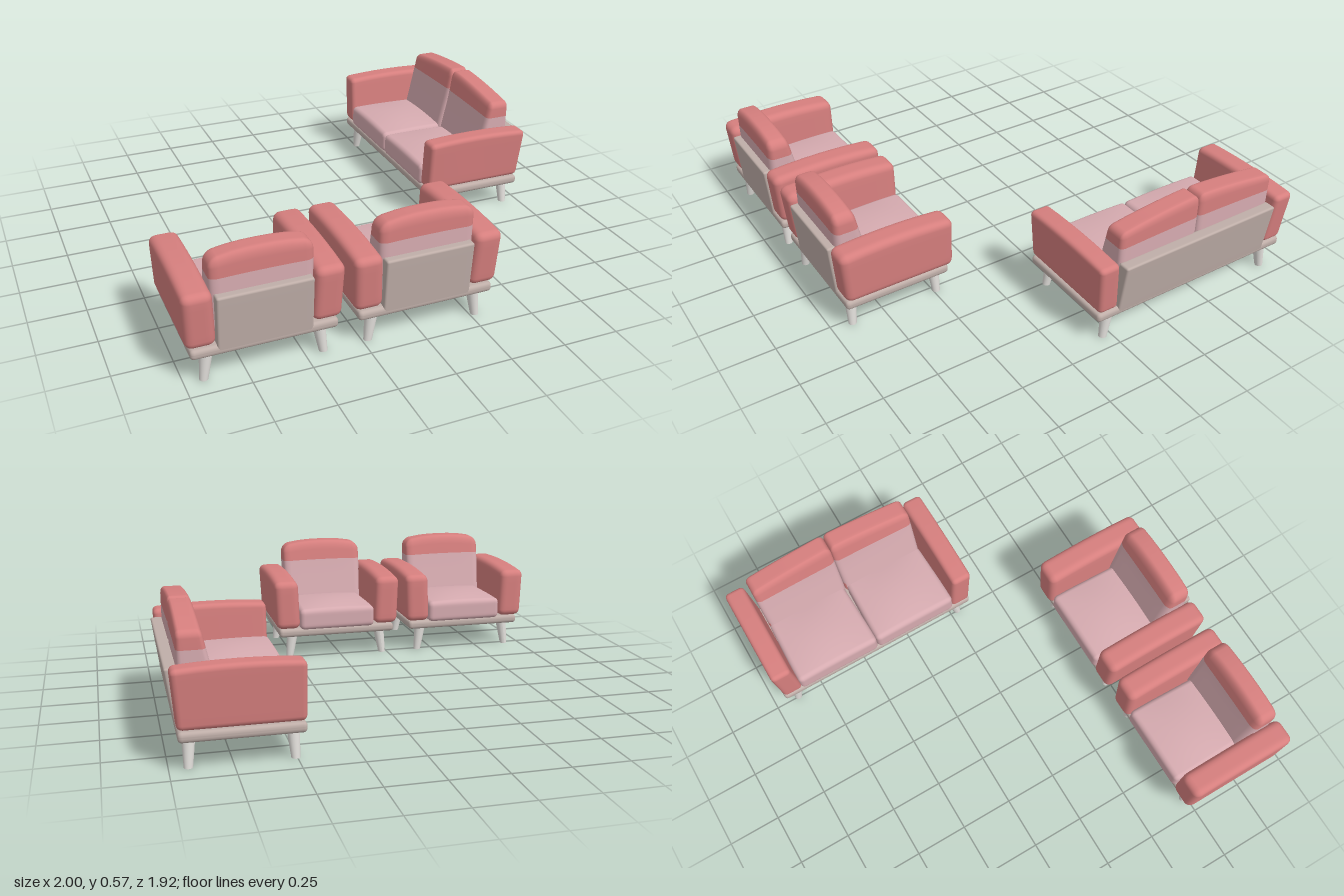
import * as THREE from 'three';
import { mergeVertices } from 'three/addons/utils/BufferGeometryUtils.js';

const material = (name, color) => {
  const m = new THREE.MeshStandardMaterial({ color });
  m.name = name;
  return m;
};

// Rounded box between two corners, bent by warp(v); faces above splitY use the second material.
function softBox(name, min, max, r, materials, warp = () => {}, splitY = null) {
  const N = 12, E = 3;
  const lo = new THREE.Vector3(...min), hi = new THREE.Vector3(...max);
  let geo = new THREE.BoxGeometry(1, 1, 1, N, N, N);
  geo.deleteAttribute('uv');
  geo.deleteAttribute('normal');
  geo = mergeVertices(geo);
  const pos = geo.attributes.position, v = new THREE.Vector3(), inner = new THREE.Vector3();
  const innerLo = lo.clone().addScalar(r), innerHi = hi.clone().subScalar(r);
  const place = (t, a, b) => {
    const i = Math.round((t + 0.5) * N);
    if (i <= E) return a + (r * i) / E;
    if (i >= N - E) return b - (r * (N - i)) / E;
    return a + r + ((b - a - 2 * r) * (i - E)) / (N - 2 * E);
  };
  const rawY = [];
  for (let i = 0; i < pos.count; i++) {
    v.fromBufferAttribute(pos, i);
    v.set(place(v.x, lo.x, hi.x), place(v.y, lo.y, hi.y), place(v.z, lo.z, hi.z));
    rawY.push(v.y);
    inner.copy(v).clamp(innerLo, innerHi);
    v.sub(inner).setLength(r).add(inner);
    warp(v);
    pos.setXYZ(i, v.x, v.y, v.z);
  }
  if (splitY !== null) {
    const parts = [[], []], idx = geo.index.array;
    for (let i = 0; i < idx.length; i += 3) {
      const y = (rawY[idx[i]] + rawY[idx[i + 1]] + rawY[idx[i + 2]]) / 3;
      parts[y > splitY ? 1 : 0].push(idx[i], idx[i + 1], idx[i + 2]);
    }
    geo.setIndex([...parts[0], ...parts[1]]);
    geo.addGroup(0, parts[0].length, 0);
    geo.addGroup(parts[0].length, parts[1].length, 1);
  }
  geo.computeVertexNormals();
  const mesh = new THREE.Mesh(geo, materials);
  mesh.name = name;
  return mesh;
}

// One seat facing +z, standing on y = 0.
function createSeat(name, p, mats) {
  const { red, pink, frame, legs } = mats;
  const g = new THREE.Group();
  g.name = name;

  // Platform and leaning back panel
  g.add(softBox('base', [-p.base, 0.118, -0.249], [p.base, 0.162, 0.249], 0.017, frame));
  g.add(softBox('backPanel', [-p.panel, 0.13, -0.248], [p.panel, 0.385, -0.19], 0.01, frame,
    (v) => { v.z -= (p.panelLean * (v.y - 0.13)) / 0.255; }));

  for (const s of [-1, 1]) {
    // Arm leaning outward and backward, with a crowned top
    const xs = [s * p.armIn, s * p.armOut].sort((a, b) => a - b);
    g.add(softBox(s > 0 ? 'leftArm' : 'rightArm', [xs[0], 0.165, -0.25], [xs[1], 0.41, p.armFront],
      p.armRound, red, (v) => {
        const h = (v.y - 0.165) / 0.245;
        v.x += s * p.armLean * h;
        if (v.z < 0) v.z -= 0.02 * h * (-v.z / 0.25);
        v.y += p.armCrown * h * (1 - (v.z / 0.27) ** 2);
      }));

    // Tapered, splayed legs
    for (const f of [-1, 1]) {
      const leg = new THREE.Mesh(new THREE.CylinderGeometry(0.028, 0.018, 0.126, 20), legs);
      leg.name = (f > 0 ? 'front' : 'back') + (s > 0 ? 'Left' : 'Right') + 'Leg';
      const lp = leg.geometry.attributes.position;
      for (let i = 0; i < lp.count; i++) {
        const down = 0.5 - lp.getY(i) / 0.126;
        lp.setX(i, lp.getX(i) + s * p.splay * down);
        lp.setZ(i, lp.getZ(i) + f * 0.006 * down);
      }
      leg.geometry.computeVertexNormals();
      leg.position.set(s * p.legX, 0.063, f * 0.203);
      g.add(leg);
    }
  }

  // Seat and back cushions, one pair per place
  for (let i = 0; i < p.places; i++) {
    const span = (half) => {
      const w = (2 * half) / p.places;
      return [-half + i * w, -half + (i + 1) * w];
    };
    const [sx0, sx1] = span(p.seat), [bx0, bx1] = span(p.back);
    const mid = (sx0 + sx1) / 2, halfW = (sx1 - sx0) / 2;
    g.add(softBox('seatCushion', [sx0, 0.155, -0.1], [sx1, 0.262, p.seatFront], 0.024, pink, (v) => {
      const u = (v.x - mid) / halfW, w = (v.z - 0.08) / 0.19;
      v.y += (v.y > 0.2 ? 0.02 : 0) * Math.max(0, 1 - u * u) * Math.max(0, 1 - w * w);
      v.x = mid + (v.x - mid) * (0.97 + 0.03 * Math.min(1, w + 0.6));
    }));
    g.add(softBox('backCushion', [bx0, 0.2, -0.235], [bx1, p.backTop, -0.06], p.backRound, [pink, red], (v) => {
      const h = (v.y - 0.2) / (p.backTop - 0.2);
      // front face leans back, rear stays near upright
      const front = (v.z + 0.235) / 0.175;
      v.z -= front * 0.075 * h;
      const u = Math.abs(v.x) / p.back;
      v.y += p.dome * Math.max(0, (h - 0.7) / 0.3) * (1 - u ** p.domePower);
    }, 0.45));
  }
  return g;
}

export function createModel() {
  const model = new THREE.Group();
  model.name = 'loungeSet';
  const mats = {
    red: material('coral red', 0xd67f7e),
    pink: material('dusty pink', 0xd6abb0),
    frame: material('warm taupe', 0xbfaea8),
    legs: material('off white', 0xe2dfdb),
  };

  const chair = {
    places: 1, base: 0.304, panel: 0.196, panelLean: 0.022, seat: 0.197, seatFront: 0.262,
    back: 0.21, backTop: 0.527, backRound: 0.038, dome: 0.023, domePower: 2.5,
    armIn: 0.196, armOut: 0.32, armFront: 0.268, armRound: 0.032, armLean: 0.01, armCrown: 0.014,
    legX: 0.232, splay: 0.017,
  };
  const sofa = {
    places: 2, base: 0.52, panel: 0.415, panelLean: 0.036, seat: 0.425, seatFront: 0.254,
    back: 0.416, backTop: 0.525, backRound: 0.028, dome: 0.042, domePower: 1.6,
    armIn: 0.418, armOut: 0.517, armFront: 0.25, armRound: 0.022, armLean: 0.02, armCrown: 0.012,
    legX: 0.44, splay: 0.02,
  };

  // Two armchairs facing away, sofa along the side
  [['rightArmchair', -0.67], ['middleArmchair', 0.025]].forEach(([name, x]) => {
    const seat = createSeat(name, chair, mats);
    seat.position.set(x, 0, 0.694);
    seat.rotation.y = Math.PI;
    model.add(seat);
  });
  const couch = createSeat('sofa', sofa, mats);
  couch.position.set(0.715, 0, -0.4225);
  couch.rotation.y = -Math.PI / 2;
  model.add(couch);
  return model;
}
